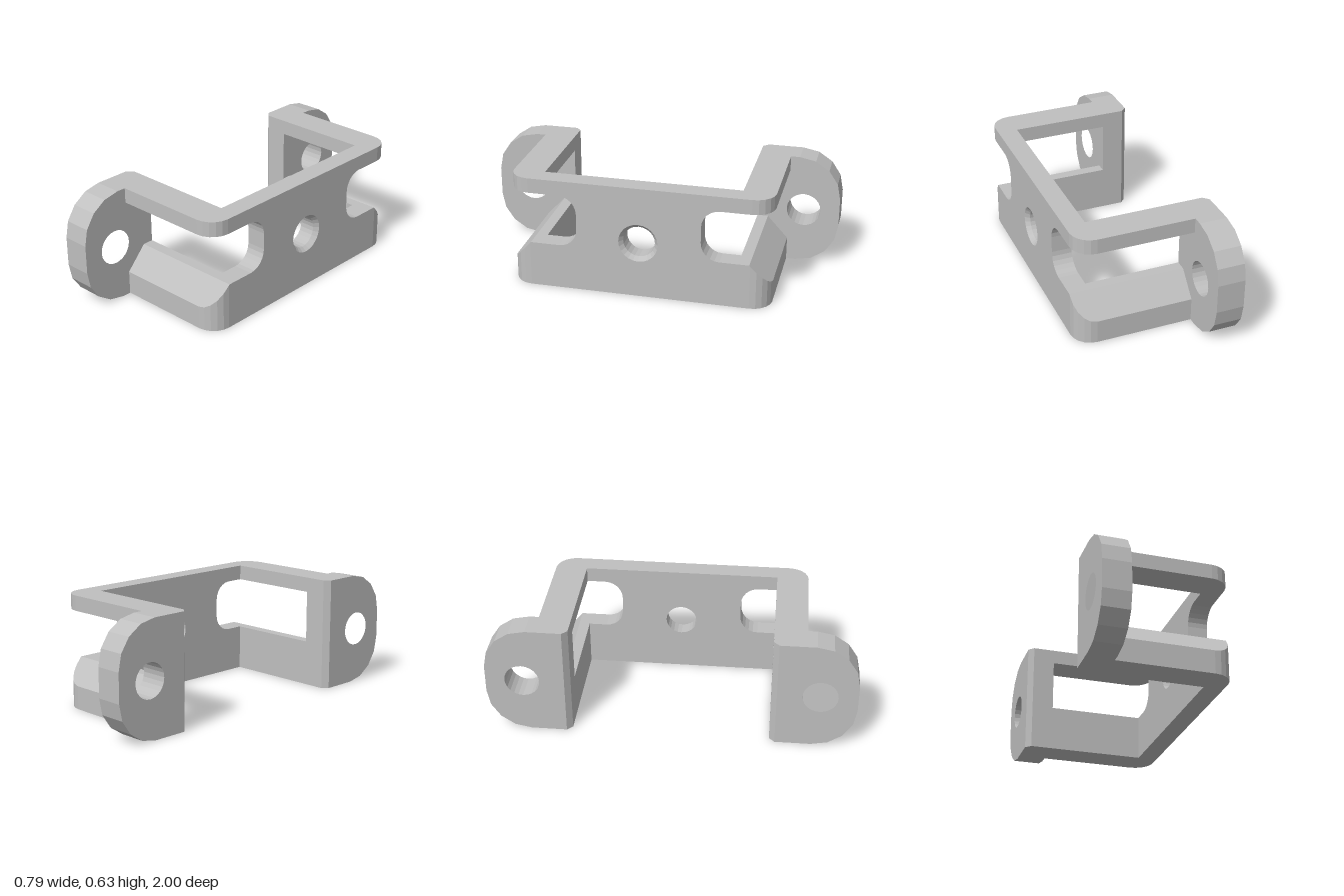
import * as THREE from 'three';

const H = 0.63, BACK = -0.397, STEP = -0.245, INNER = 0.287, FRONT = 0.397;
const steel = new THREE.MeshStandardMaterial({ color: 0xbfbfbf });
steel.name = 'plain grey metal';

// Points along an arc, angles in degrees
function arc(cx, cy, r, a0, a1, n) {
  return Array.from({ length: n + 1 }, (_, i) => {
    const a = THREE.MathUtils.degToRad(a0 + (a1 - a0) * i / n);
    return [cx + r * Math.cos(a), cy + r * Math.sin(a)];
  });
}

const toVectors = (pts) => pts.map(([a, b]) => new THREE.Vector2(a, b));

function extrude(pts, depth, hole) {
  const shape = new THREE.Shape(toVectors(pts));
  if (hole) shape.holes.push(new THREE.Path(toVectors(hole)));
  return new THREE.ExtrudeGeometry(shape, { depth, bevelEnabled: false });
}

// Outline in (z, y), extruded along x
function sideSolid(pts, x0, x1, hole) {
  const flip = ([z, y]) => [-z, y];
  return extrude(pts.map(flip), x1 - x0, hole && hole.map(flip)).rotateY(Math.PI / 2).translate(x0, 0, 0);
}

// Outline in (x, z), extruded along y
function planSolid(pts, y0, y1) {
  return extrude(pts.map(([x, z]) => [x, -z]), y1 - y0).rotateX(-Math.PI / 2).translate(0, y0, 0);
}

function add(parent, name, geometry) {
  const mesh = new THREE.Mesh(geometry, steel);
  mesh.name = name;
  parent.add(mesh);
  return mesh;
}

export function createModel() {
  const model = new THREE.Group();
  model.name = 'bracket';

  // Face plate with a round-cornered notch at either end
  const half = [
    [0.6, 0], [0.6, 0.255],
    ...arc(0.44, 0.355, 0.1, 270, 180, 6),
    ...arc(0.44, 0.447, 0.1, 180, 90, 6),
    [0.6, 0.547], [0.6, H],
  ];
  const outline = [...half, ...half.map(([z, y]) => [-z, y]).reverse()];
  add(model, 'facePlate', sideSolid(outline, INNER, FRONT, arc(0, 0.315, 0.108, 0, 345, 23)));

  // Bore of the centre hole with its countersink
  const bore = new THREE.LatheGeometry(
    toVectors([[0.108, FRONT], [0.087, FRONT - 0.025], [0.087, INNER], [0.108, INNER]]), 24);
  bore.rotateZ(-Math.PI / 2).translate(0, 0.315, 0);
  const boreGeometry = bore.toNonIndexed();
  // The lathe axis now runs along x
  boreGeometry.computeVertexNormals();
  add(model, 'centreHoleBore', boreGeometry).material = boreMaterial;

  for (const s of [1, -1]) {
    const arm = new THREE.Group();
    arm.name = s > 0 ? 'leftArm' : 'rightArm';
    model.add(arm);
    const mirrorZ = (pts) => pts.map(([x, z]) => [x, s * z]);
    const mirrorSide = (pts) => pts.map(([z, y]) => [s * z, y]);

    // Mounting flange with rounded outer end and screw hole
    const flange = [
      [0.57, 0],
      ...arc(0.765, 0.235, 0.235, 270, 360, 4),
      ...arc(0.765, H - 0.235, 0.235, 0, 90, 4),
      [0.57, H],
    ];
    add(arm, 'mountingFlange', sideSolid(mirrorSide(flange), BACK, STEP,
      mirrorSide(arc(0.8, 0.315, 0.095, 0, 345, 23))));
    // Chamfered inner edge of the flange
    add(arm, 'flangeEdge', planSolid(mirrorZ(
      [[BACK, 0.57], [BACK + 0.03, 0.54], [STEP, 0.54], [STEP, 0.57]]), 0, H));

    // Arm rails: straight inner strip and outer strip with a rounded corner
    const innerStrip = mirrorZ([[STEP, 0.54], [INNER, 0.54], [INNER, 0.6], [STEP, 0.6]]);
    const outerStrip = mirrorZ([
      [STEP, 0.6], [FRONT, 0.6], ...arc(INNER, 0.605, 0.11, 0, 90, 5), [STEP, 0.715],
    ]);
    add(arm, 'upperRailInner', planSolid(innerStrip, 0.547, H));
    add(arm, 'upperRailOuter', planSolid(outerStrip, 0.547, H));
    add(arm, 'lowerRailInner', planSolid(innerStrip, 0, 0.255));

    // Lower outer strip slopes down towards its outer edge
    const sloped = planSolid(outerStrip, 0, 0.255);
    const p = sloped.attributes.position;
    for (let i = 0; i < p.count; i++) {
      if (p.getY(i) > 0.2) p.setY(i, 0.255 - (Math.abs(p.getZ(i)) - 0.6) * 0.125 / 0.115);
    }
    sloped.computeVertexNormals();
    add(arm, 'lowerRailOuter', sloped);
  }
  return model;
}

// Thin open bore surface shows from both sides
const boreMaterial = new THREE.MeshStandardMaterial({ color: 0xbfbfbf, side: THREE.DoubleSide });
boreMaterial.name = 'bore grey metal';
